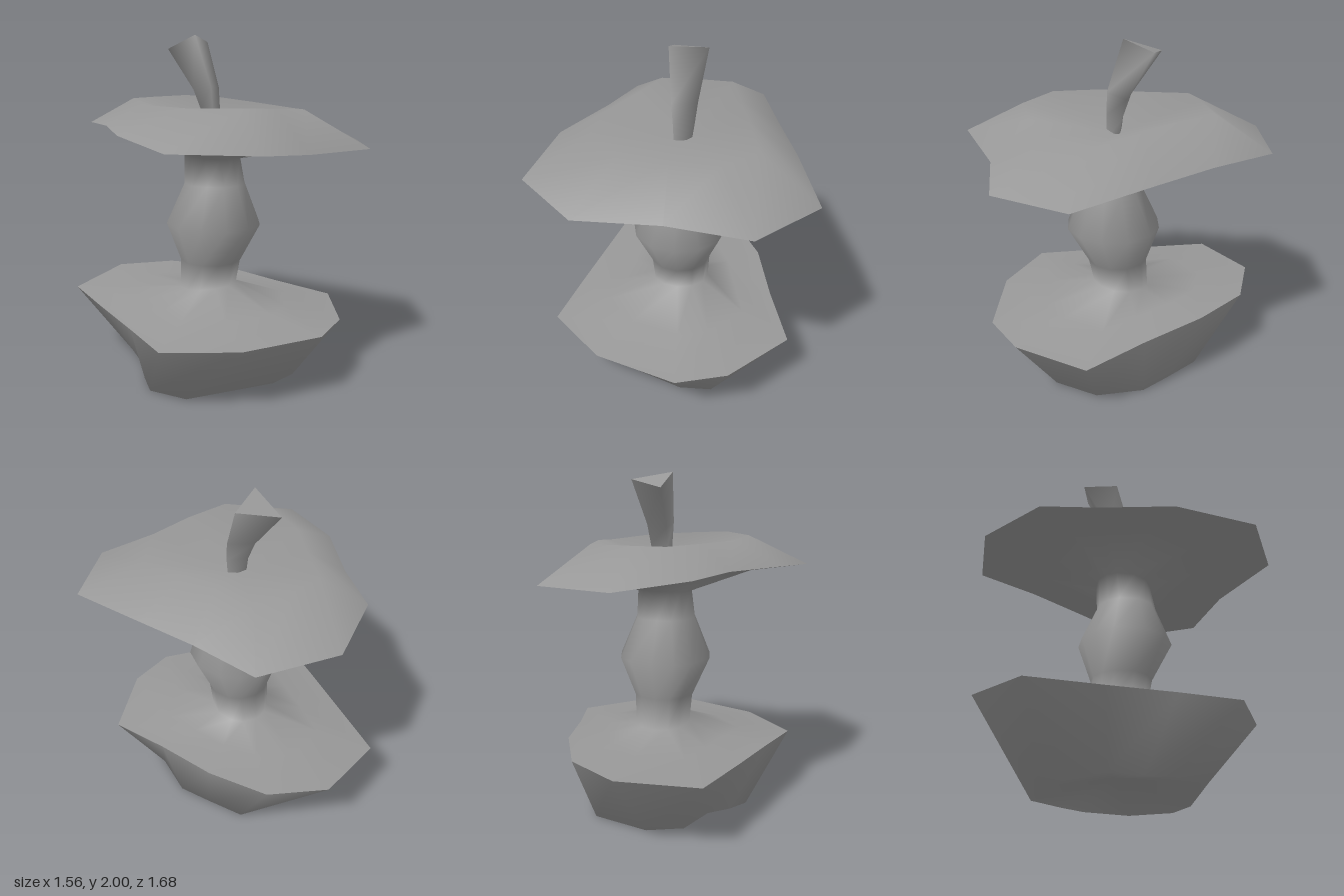
import * as THREE from 'three';
import { mergeVertices } from 'three/addons/utils/BufferGeometryUtils.js';

const grey = new THREE.MeshStandardMaterial({ color: 0x989898 });

// Smooth skin between rings of [x, y, z] points, each counter-clockwise seen from above
function loft(name, rings) {
  const n = rings[0].length;
  const index = [];
  for (let r = 0; r < rings.length - 1; r++) {
    for (let i = 0; i < n; i++) {
      const j = (i + 1) % n;
      const a = r * n + i, b = r * n + j;
      index.push(a, b, b + n, a, b + n, a + n);
    }
  }
  let geometry = new THREE.BufferGeometry();
  geometry.setAttribute('position', new THREE.Float32BufferAttribute(rings.flat(2), 3));
  geometry.setIndex(index);
  geometry = mergeVertices(geometry);
  geometry.computeVertexNormals();
  const mesh = new THREE.Mesh(geometry, grey);
  mesh.name = name;
  return mesh;
}

// Bitten edge of the upper part, from the front notch round to the left
const capRim = [
  [0, 1.385, 0.77], [0.45, 1.38, 0.84], [0.78, 1.38, 0.51], [0.66, 1.415, 0.04],
  [0.55, 1.43, -0.33], [0.45, 1.43, -0.72], [0, 1.435, -0.84], [-0.36, 1.48, -0.64],
  [-0.48, 1.49, -0.33], [-0.69, 1.48, 0.04], [-0.78, 1.44, 0.51], [-0.45, 1.43, 0.84],
];

// Highest line of the upper part, sagging at the front left
const crown = [
  [0, 1.61, 0.54], [0.26, 1.59, 0.52], [0.45, 1.572, 0.31], [0.38, 1.6, 0.02],
  [0.32, 1.62, -0.2], [0.26, 1.625, -0.45], [0, 1.625, -0.47], [-0.17, 1.625, -0.46],
  [-0.3, 1.62, -0.2], [-0.42, 1.62, 0.02], [-0.45, 1.625, 0.31], [-0.26, 1.625, 0.53],
];

// Bitten edge of the lower part, corner by corner below the upper one
const baseRim = [
  [0.06, 0.385, 0.84], [0.35, 0.385, 0.75], [0.68, 0.385, 0.42], [0.57, 0.42, 0.05],
  [0.48, 0.455, -0.33], [0.31, 0.455, -0.66], [0, 0.455, -0.84], [-0.45, 0.425, -0.72],
  [-0.55, 0.41, -0.32], [-0.64, 0.4, 0.05], [-0.72, 0.385, 0.38], [-0.41, 0.385, 0.68],
];

// Resting edge of the lower part, slightly lifted at the back right
const foot = [
  [0.05, 0.005, 0.51], [0.24, 0, 0.5], [0.43, 0, 0.3], [0.47, 0.005, 0.02],
  [0.39, 0, -0.16], [0.29, 0, -0.38], [-0.05, 0, -0.46], [-0.25, 0, -0.37],
  [-0.35, 0.035, -0.21], [-0.45, 0.01, -0.06], [-0.52, 0, 0.07], [-0.46, 0.01, 0.31],
];

// Ring of the core, its corners pointing the same way as those of the upper edge
const coreRing = (radius, y, cz, tilt = 0) => capRim.map(([x, , z]) => {
  const angle = Math.atan2(x, z - 0.06);
  const dz = radius * Math.cos(angle);
  return [radius * Math.sin(angle), y + tilt * dz, cz + dz];
});
const point = (count, x, y, z) => Array.from({ length: count }, () => [x, y, z]);

export function createModel() {
  const group = new THREE.Group();

  // Rounded skin of the lower part, hollow underneath
  group.add(loft('lowerSkin', [point(12, 0, 0.1, 0), foot, baseRim]));

  // Flesh rising from the lower edge to the bulging core and out to the upper edge
  const shoulder = baseRim.map(([x, y, z]) => [x * 0.6, y * 0.5 + 0.235, z * 0.6]);
  const underside = capRim.map(([x, y, z]) => [x * 0.6, y - 0.025, z * 0.6]);
  group.add(loft('core', [
    baseRim, shoulder,
    coreRing(0.17, 0.515, 0.02, 0.13),
    coreRing(0.18, 0.68, 0.04),
    coreRing(0.28, 0.91, 0.065),
    coreRing(0.18, 1.15, 0.075),
    coreRing(0.165, 1.315, 0.055, -0.06),
    underside, capRim,
  ]));

  // Upper skin with a hollow round the stem
  group.add(loft('upperSkin', [capRim, crown, point(12, 0.01, 1.48, 0.04)]));

  // Bent three-sided stem with a slanted flat end
  const stemTop = [[-0.07, 2, -0.02], [0.14, 1.96, -0.13], [-0.07, 1.92, -0.25]];
  group.add(loft('stem', [
    [[-0.03, 1.44, 0.095], [0.06, 1.44, 0.05], [-0.03, 1.44, 0.01]],
    [[-0.035, 1.58, 0.09], [0.08, 1.58, 0.035], [-0.035, 1.58, -0.01]],
    [[-0.045, 1.71, 0.085], [0.095, 1.7, 0.01], [-0.045, 1.69, -0.06]],
    stemTop,
  ]));
  group.add(loft('stemEnd', [stemTop, point(3, 0, 1.96, -0.1333)]));

  return group;
}
